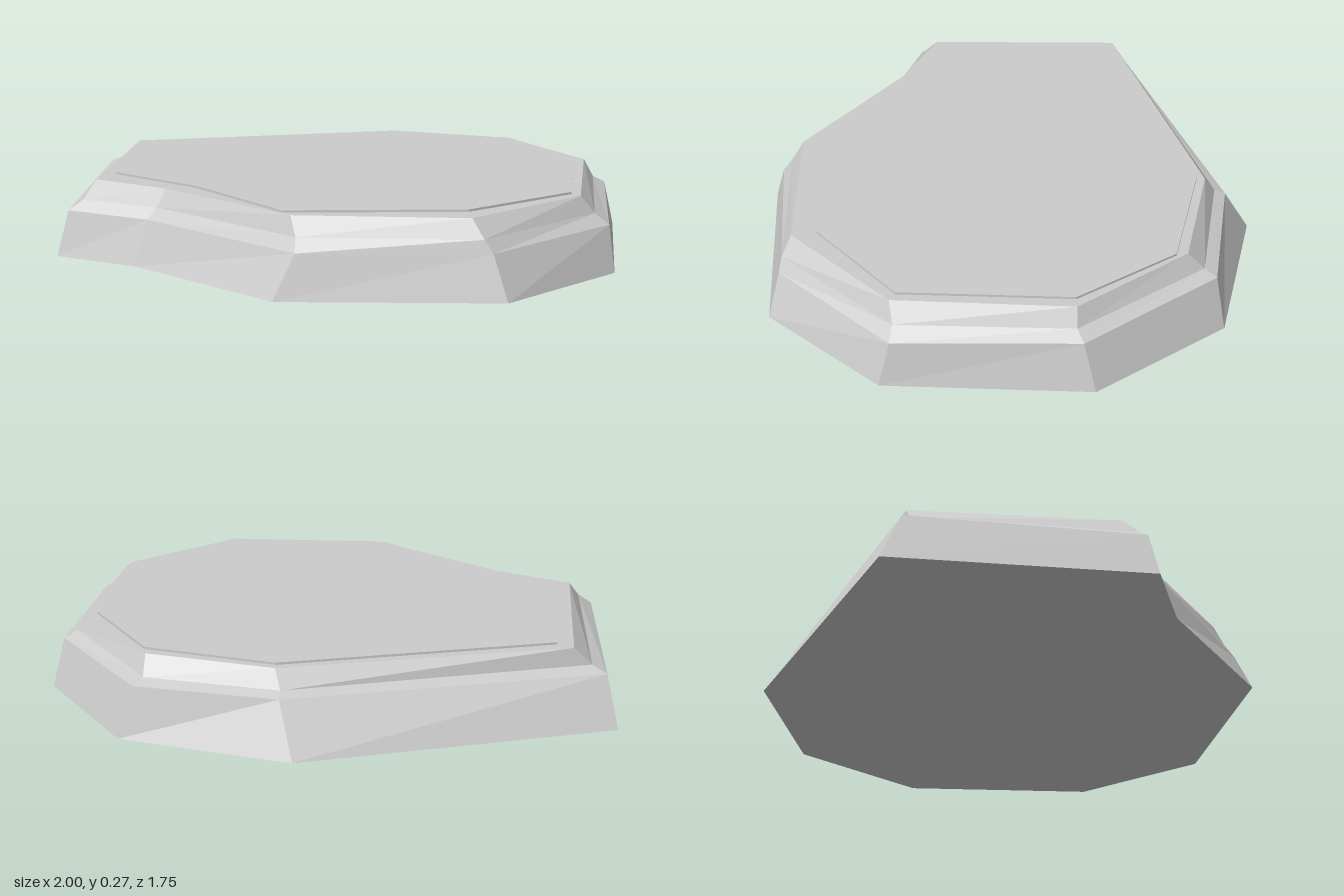
import * as THREE from 'three';

// Stacks nine-sided outlines (lists of [x, y, z]) into a closed solid.
function loftRings(rings) {
  const n = rings[0].length;
  const pos = [];
  const tri = (...corners) => corners.forEach((p) => pos.push(...p));

  // sloping sides
  for (let r = 0; r < rings.length - 1; r++) {
    for (let i = 0; i < n; i++) {
      const j = (i + 1) % n;
      const a = rings[r][i], b = rings[r][j], c = rings[r + 1][j], d = rings[r + 1][i];
      tri(a, d, b);
      tri(b, d, c);
    }
  }

  // flat caps, turned to face up or down
  const cap = (ring, up) => {
    const outline = ring.map(([x, , z]) => new THREE.Vector2(x, z));
    for (const [i, j, k] of THREE.ShapeUtils.triangulateShape(outline, [])) {
      const area = THREE.ShapeUtils.area([outline[i], outline[j], outline[k]]);
      if ((area < 0) === up) tri(ring[i], ring[j], ring[k]);
      else tri(ring[i], ring[k], ring[j]);
    }
  };
  cap(rings[0], false);
  cap(rings[rings.length - 1], true);

  const geometry = new THREE.BufferGeometry();
  geometry.setAttribute('position', new THREE.Float32BufferAttribute(pos, 3));
  geometry.computeVertexNormals();
  return geometry;
}

// Gives an outline of [x, z] points its height, constant or by rule.
const raise = (outline, height) => outline.map(([x, z]) => [x, height(z), z]);

export function createModel() {
  const material = new THREE.MeshStandardMaterial({ color: 0xcccccc, flatShading: true });

  // outlines run from the back corner at -x, round past +x, to the front
  const foot = [[-1, -0.53], [0.08, -0.88], [0.68, -0.72], [1, -0.26], [0.95, 0.45],
    [0.58, 0.84], [-0.18, 0.875], [-0.7, 0.48], [-1, 0.36]];
  const ledge = [[-0.96, -0.46], [0.13, -0.78], [0.63, -0.69], [0.96, -0.22], [0.93, 0.41],
    [0.53, 0.8], [-0.11, 0.835], [-0.66, 0.445], [-0.96, 0.335]];
  const step = [[-0.91, -0.43], [0.13, -0.74], [0.6, -0.65], [0.915, -0.2], [0.88, 0.4],
    [0.5, 0.79], [-0.11, 0.8], [-0.63, 0.42], [-0.91, 0.32]];
  const rim = [[-0.845, -0.44], [0.15, -0.7], [0.6, -0.59], [0.88, -0.2], [0.83, 0.41],
    [0.46, 0.757], [-0.13, 0.757], [-0.6, 0.4], [-0.87, 0.27]];
  const plate = [[-0.79, -0.41], [0.15, -0.67], [0.61, -0.55], [0.84, -0.2], [0.8, 0.39],
    [0.45, 0.67], [-0.16, 0.725], [-0.5, 0.38], [-0.82, 0.18]];

  const group = new THREE.Group();
  group.name = 'stoneSlab';

  // chiselled stone body; its ledge tilts down slightly towards the front
  const body = new THREE.Mesh(loftRings([
    raise(foot, () => 0),
    raise(ledge, (z) => 0.167 - 0.018 * z),
    raise(step, () => 0.197),
    raise(rim, () => 0.26),
  ]), material);
  body.name = 'stoneBody';

  // thin raised surface
  const top = new THREE.Mesh(loftRings([
    raise(plate, () => 0.255),
    raise(plate, () => 0.268),
  ]), material);
  top.name = 'topPlate';

  group.add(body, top);
  return group;
}
